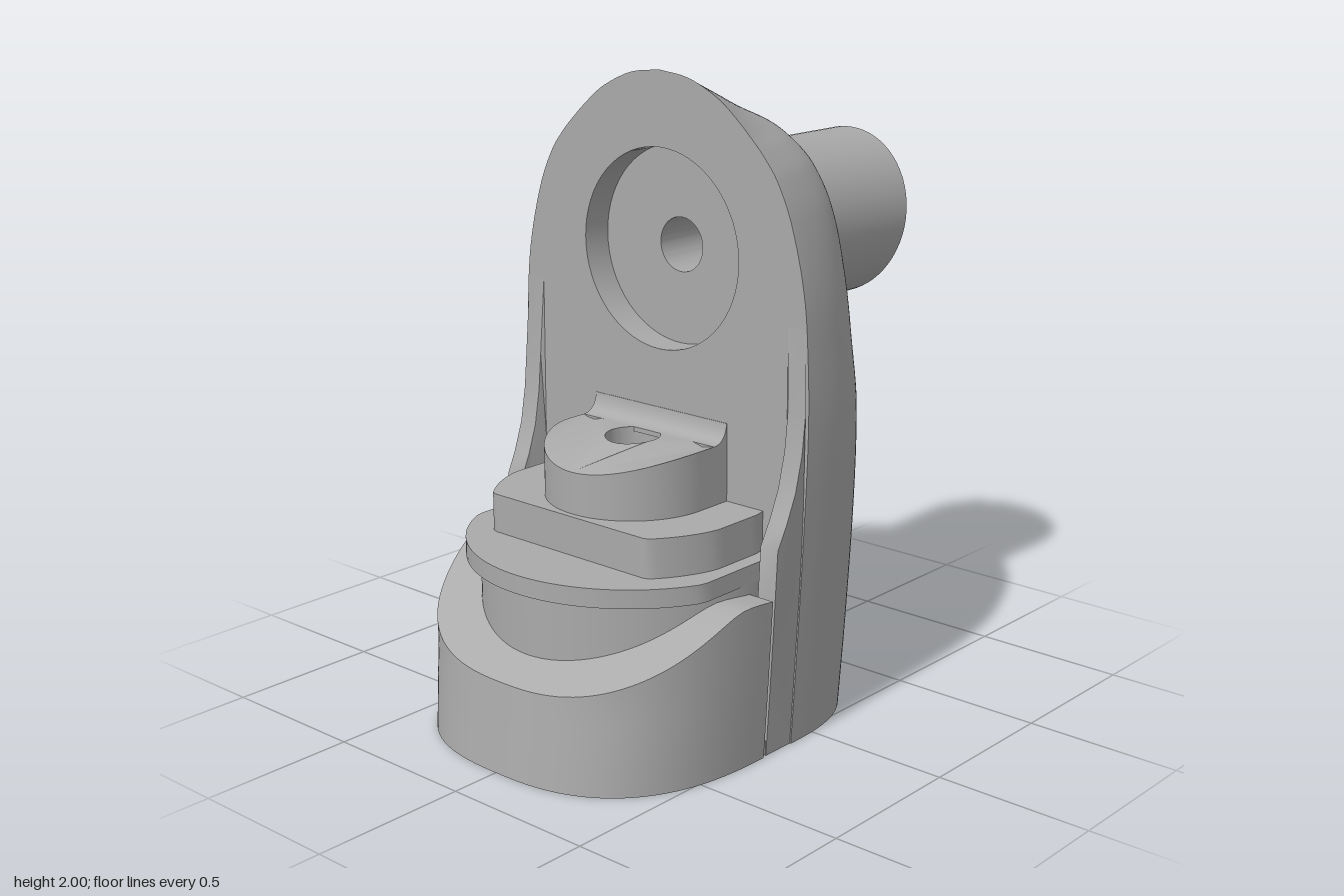
import * as THREE from 'three';
import { toCreasedNormals } from 'three/addons/utils/BufferGeometryUtils.js';

const FACE = -0.11;      // x of the flat housing face
const AXIS = -0.235;     // x of the turntable axis
const ARM_Y = 1.46;      // height of the arm axis
const BORE = 0.085;

// housing by height: y, half width, outer x, section exponents across and along
const KEYS = [
  [0, .53, .39, 2.7, 2.7], [.3, .548, .405, 2.7, 2.7], [.7, .568, .415, 2.7, 2.7],
  [1, .578, .402, 2.7, 2.7], [1.2, .573, .383, 2.9, 2.3], [1.4, .555, .35, 3.8, 1.8],
  [1.6, .505, .312, 5, 1.4], [1.72, .45, .298, 4.4, 1.2], [1.79, .395, .287, 3.2, 1.1],
  [1.83, .355, .268, 2.4, 1], [1.88, .3, .158, 2, 1], [1.93, .235, .046, 2, 1],
  [1.97, .155, -.043, 2, 1], [1.99, .09, -.088, 2, 1], [2, .001, -.109, 2, 1],
];

// smooth interpolation of one column of KEYS
function at(y, c) {
  const n = KEYS.length - 1;
  let i = 0;
  while (i < n - 1 && y > KEYS[i + 1][0]) i++;
  const tangent = (k) => {
    const a = KEYS[Math.max(k - 1, 0)], b = KEYS[Math.min(k + 1, n)];
    return (b[c] - a[c]) / (b[0] - a[0]);
  };
  const a = KEYS[i], b = KEYS[i + 1], h = b[0] - a[0], t = (y - a[0]) / h;
  const t2 = t * t, t3 = t2 * t;
  return (2 * t3 - 3 * t2 + 1) * a[c] + (t3 - 2 * t2 + t) * h * tangent(i)
    + (3 * t2 - 2 * t3) * b[c] + (t3 - t2) * h * tangent(i + 1);
}
const halfWidth = (y) => at(y, 1);

const ROWS = [];
for (let i = 0; i < KEYS.length - 1; i++) {
  for (let k = 0; k < 6; k++) ROWS.push(KEYS[i][0] + (KEYS[i + 1][0] - KEYS[i][0]) * k / 6);
}
ROWS.push(2);

// half superellipse: a runs from -PI/2 to PI/2, returns [along, across]
function halfOval(a, depth, width, p, q) {
  const s = Math.sin(a), c = Math.max(Math.cos(a), 0);
  return [depth * Math.pow(c, 2 / q), width * Math.sign(s) * Math.pow(Math.abs(s), 2 / p)];
}
const angle = (i, n) => -Math.PI / 2 + Math.PI * i / n;

// surface from a grid of points; skip leaves openings
function grid(nu, nv, point, flip, skip) {
  const pos = [], index = [];
  for (let j = 0; j <= nv; j++) for (let i = 0; i <= nu; i++) pos.push(...point(i, j));
  const mid = (a, b, k) => (pos[a * 3 + k] + pos[b * 3 + k]) / 2;
  for (let j = 0; j < nv; j++) for (let i = 0; i < nu; i++) {
    const a = j * (nu + 1) + i, b = a + 1, c = a + nu + 1, d = c + 1;
    if (skip && skip(mid(a, d, 0), mid(a, d, 1), mid(a, d, 2))) continue;
    if (flip) index.push(a, c, b, b, c, d);
    else index.push(a, b, c, b, d, c);
  }
  const g = new THREE.BufferGeometry();
  g.setAttribute('position', new THREE.Float32BufferAttribute(pos, 3));
  g.setIndex(index);
  g.computeVertexNormals();
  return g;
}

function moveVertices(g, rule) {
  const p = g.attributes.position, v = new THREE.Vector3();
  for (let i = 0; i < p.count; i++) {
    rule(v.fromBufferAttribute(p, i));
    p.setXYZ(i, v.x, v.y, v.z);
  }
  return g;
}

const circleHole = (x, y, r) => new THREE.Path().absarc(x, y, r, 0, Math.PI * 2, true);

// plan shape standing upright from y0 to y1
function slab(shape, y0, y1) {
  return new THREE.ExtrudeGeometry(shape, { depth: y1 - y0, bevelEnabled: false, curveSegments: 32 })
    .rotateX(-Math.PI / 2).translate(0, y0, 0);
}

// circle about the turntable axis trimmed by flats, with the central bore
function trimmedCircle(r, xMin = -9, zMax = 9) {
  const pts = [];
  for (let i = 0; i < 96; i++) {
    const a = i / 96 * Math.PI * 2;
    pts.push(new THREE.Vector2(Math.max(AXIS + r * Math.cos(a), xMin),
      THREE.MathUtils.clamp(r * Math.sin(a), -zMax, zMax)));
  }
  const s = new THREE.Shape(pts);
  s.holes.push(circleHole(AXIS, 0, BORE));
  return s;
}

export function createModel() {
  const group = new THREE.Group();
  const grey = new THREE.MeshStandardMaterial({ color: 0xaaaaaa, side: THREE.DoubleSide });
  grey.name = 'plain grey';
  const add = (name, g, crease = 0.6) => {
    const m = new THREE.Mesh(crease ? toCreasedNormals(g, crease) : g, grey);
    m.name = name;
    group.add(m);
    return m;
  };

  // housing shell, left open behind the arm so the bore runs through
  add('housingShell', grid(64, ROWS.length - 1, (i, j) => {
    const y = ROWS[j];
    const [x, z] = halfOval(angle(i, 64), at(y, 2) - FACE, halfWidth(y), at(y, 3), at(y, 4));
    return [FACE + x, y, z];
  }, true, (x, y, z) => x > 0.2 && Math.hypot(y - ARM_Y, z) < 0.17), 0);

  // flat arched face with a round opening
  const arch = new THREE.Shape([
    ...ROWS.map((y) => new THREE.Vector2(halfWidth(y), y)),
    ...[...ROWS].reverse().map((y) => new THREE.Vector2(-halfWidth(y), y)),
  ]);
  arch.holes.push(circleHole(0, ARM_Y, 0.31));
  add('housingFace', new THREE.ShapeGeometry(arch, 32).rotateY(-Math.PI / 2).translate(FACE, 0, 0), 0);

  // pocket, bore and arm in one turned profile, with a slanted tip
  const profile = [[.31, FACE], [.31, -.01], [BORE, -.01], [BORE, .785], [.27, .785],
    [.27, .4], [.275, .375], [.29, .35], [.33, .31]].map(([r, x]) => new THREE.Vector2(r, x));
  const arm = new THREE.LatheGeometry(profile, 64).rotateZ(-Math.PI / 2);
  moveVertices(arm, (v) => {
    if (v.x > 0.6) v.x += v.y * 0.17;
    else if (v.x > 0.25) v.x -= v.y * 0.14;
    v.y += ARM_Y;
  });
  add('arm', arm);

  // side flanges that reach forward to the base
  const flange = new THREE.Shape([[-.225, 0], [-.225, .2], [-.225, .4], [-.225, .66], [-.19, .73],
    [-.155, .82], [-.132, .93], [-.12, 1.05], [-.11, 1.3], [-.1, 1.3], [-.1, .9], [-.1, .5], [-.1, 0],
  ].map(([x, y]) => new THREE.Vector2(x, y)));
  for (const side of [1, -1]) {
    const g = new THREE.ExtrudeGeometry(flange, { depth: 0.065, bevelEnabled: false });
    moveVertices(g, (v) => {
      v.z = side < 0 ? v.z - halfWidth(v.y) + 0.004 : v.z + halfWidth(v.y) - 0.069;
    });
    add(side > 0 ? 'frontFlange' : 'backFlange', g);
  }

  // base cover with a sloping top
  const top = new THREE.SplineCurve([[-.84, .26], [-.8, .285], [-.6, .395], [-.42, .495],
    [-.34, .515], [-.235, .507]].map(([x, y]) => new THREE.Vector2(x, y))).getPoints(60);
  const topY = (x) => {
    let i = 0;
    while (i < top.length - 2 && top[i + 1].x < x) i++;
    const a = top[i], b = top[i + 1];
    return a.y + (b.y - a.y) * THREE.MathUtils.clamp((x - a.x) / (b.x - a.x), 0, 1);
  };
  const basePoint = (i, v) => {
    const a = angle(i, 64);
    const y = v * topY(AXIS - halfOval(a, 0.58, 0.55, 2.6, 2.6)[0]);
    const [x, z] = halfOval(a, 0.6 - 0.12 * Math.min(y, 0.28), halfWidth(y), 2.6, 2.6);
    return [AXIS - x - 0.005, y, z];
  };
  add('baseWall', grid(64, 6, (i, j) => basePoint(i, j / 6), false), 0);
  add('baseTop', grid(64, 1, (i, j) => {
    const [x, y, z] = basePoint(i, 1);
    const inner = Math.sqrt(Math.max(0.16 - (x - AXIS) ** 2, 0));
    return j ? [x, y, Math.sign(z) * Math.min(inner, Math.abs(z))] : [x, y, z];
  }, false), 0);

  // floor plate with bore and two curved slots
  const outline = [];
  for (let i = 0; i <= 48; i++) {
    const [x, z] = halfOval(angle(i, 48), 0.495, 0.525, 2.7, 2.7);
    outline.push(new THREE.Vector2(FACE + x, z));
  }
  for (let i = 48; i >= 0; i--) {
    const [x, z] = halfOval(angle(i, 48), 0.59, 0.525, 2.6, 2.6);
    outline.push(new THREE.Vector2(AXIS - x, z));
  }
  const floor = new THREE.Shape(outline);
  floor.holes.push(circleHole(AXIS, 0, BORE));
  for (const a of [0.3, 0.3 + Math.PI]) {
    floor.holes.push(new THREE.Path().absarc(AXIS, 0, 0.335, a, a + 1.7, false)
      .absarc(AXIS, 0, 0.315, a + 1.7, a, true));
  }
  add('floorPlate', slab(floor, 0.004, 0.05));

  // turntable stack
  add('turntableDrum', slab(trimmedCircle(0.47), 0.05, 0.54));
  add('turntableDisc', slab(trimmedCircle(0.515, -9, 0.47), 0.54, 0.598));
  add('turntableBlock', slab(trimmedCircle(0.43, -0.525, 0.42), 0.598, 0.72));

  // knob with a gently domed top, and its sweep up to the housing face
  const knob = new THREE.Shape().moveTo(-.1, -.27).lineTo(-.1, .27).lineTo(AXIS, .27)
    .absarc(AXIS, 0, 0.27, Math.PI / 2, Math.PI * 1.5, false);
  knob.holes.push(circleHole(AXIS, 0, BORE));
  const dome = (x) => 0.905 - 0.75 * Math.max(AXIS - x, 0) ** 2;
  add('knob', moveVertices(slab(knob, 0.72, 0.9), (v) => { if (v.y > 0.8) v.y = dome(v.x); }));
  const sweep = new THREE.Shape().moveTo(-.17, .89).lineTo(-.17, .905)
    .quadraticCurveTo(-.12, .905, -.112, .965).lineTo(-.1, .965).lineTo(-.1, .89);
  add('knobSweep', new THREE.ExtrudeGeometry(sweep, { depth: 0.54, bevelEnabled: false })
    .translate(0, 0, -0.27));

  return group;
}
